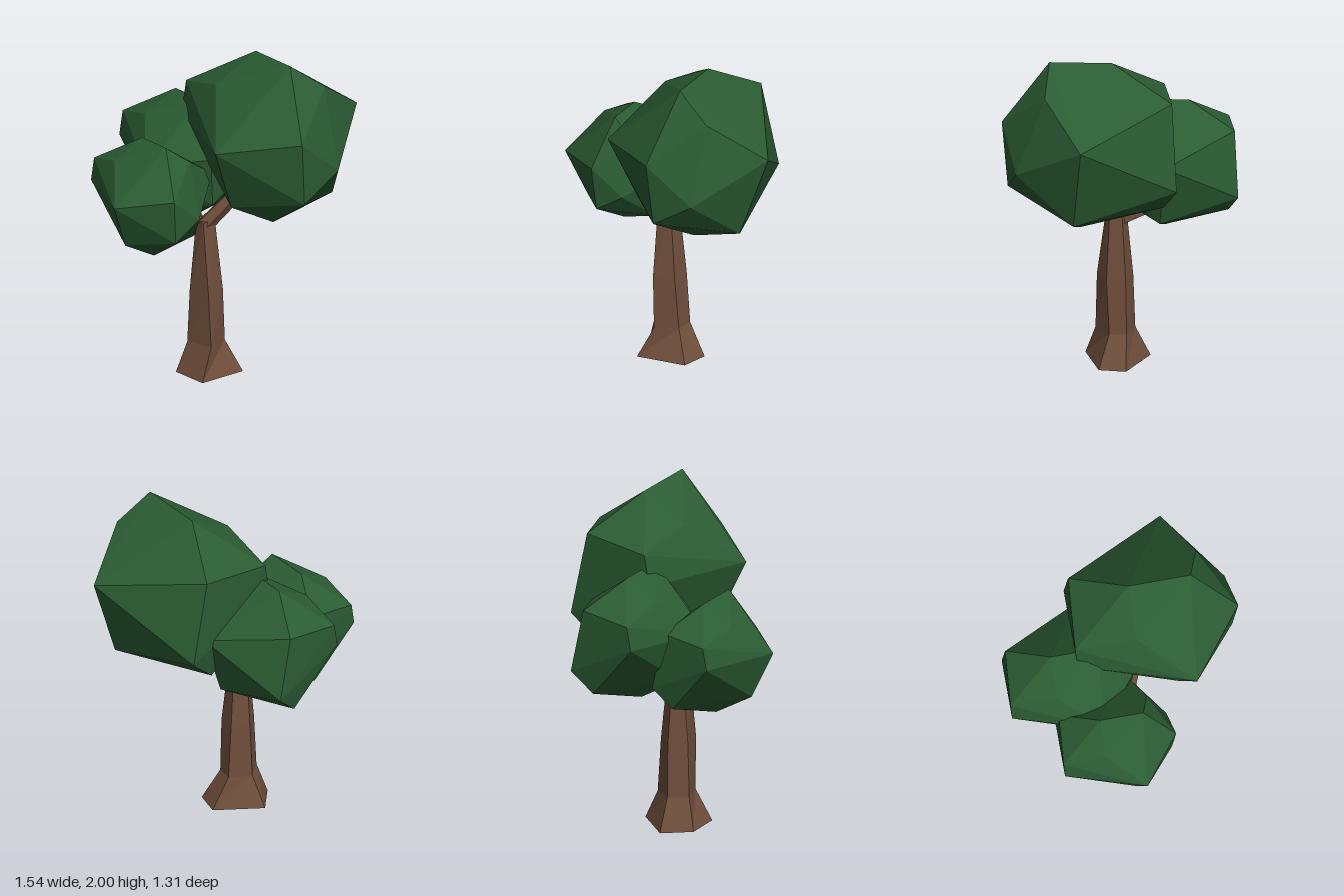
import * as THREE from 'three';
import { ConvexGeometry } from 'three/addons/geometries/ConvexGeometry.js';

// Faceted skin through rings of equal point count (counterclockwise from above), capped at both ends
function loft(rings) {
  const pos = [], n = rings[0].length;
  const tri = (...pts) => pts.forEach(p => pos.push(...p));
  for (let r = 0; r < rings.length - 1; r++) {
    const a = rings[r], b = rings[r + 1];
    for (let i = 0; i < n; i++) {
      const j = (i + 1) % n;
      tri(a[i], a[j], b[j]);
      tri(a[i], b[j], b[i]);
    }
  }
  const bottom = rings[0], top = rings[rings.length - 1];
  for (let i = 1; i < n - 1; i++) {
    tri(bottom[0], bottom[i + 1], bottom[i]);
    tri(top[0], top[i], top[i + 1]);
  }
  const geo = new THREE.BufferGeometry();
  geo.setAttribute('position', new THREE.Float32BufferAttribute(pos, 3));
  geo.computeVertexNormals();
  return geo;
}

export function createModel() {
  const tree = new THREE.Group();
  tree.name = 'tree';
  const bark = new THREE.MeshStandardMaterial({ color: 0x6f4e3c });
  bark.name = 'bark brown';
  const leaf = new THREE.MeshStandardMaterial({ color: 0x2b5c33 });
  leaf.name = 'leaf green';

  const add = (name, geo, mat) => {
    const mesh = new THREE.Mesh(geo, mat);
    mesh.name = name;
    tree.add(mesh);
    return mesh;
  };

  // Five-sided trunk with a flared foot; each ring is a list of [x, z]
  const trunkRings = [
    [0, [[0.085, 0.13], [0.075, -0.03], [-0.22, -0.11], [-0.30, 0.07], [-0.18, 0.27]]],
    [0.19, [[-0.015, 0.09], [-0.03, -0.01], [-0.17, -0.03], [-0.235, 0.08], [-0.115, 0.195]]],
    [0.52, [[-0.03, 0.11], [-0.05, 0.0], [-0.16, -0.02], [-0.22, 0.08], [-0.13, 0.19]]],
    [0.95, [[-0.075, 0.10], [-0.08, 0.03], [-0.15, 0.02], [-0.18, 0.07], [-0.15, 0.135]]],
  ];
  add('trunk', loft(trunkRings.map(([y, pts]) => pts.map(([x, z]) => [x, y, z]))), bark);

  // Branches reaching into the crowns
  const branch = (name, from, to, radius) => {
    const a = new THREE.Vector3(...from), b = new THREE.Vector3(...to);
    const dir = b.clone().sub(a);
    const geo = new THREE.CylinderGeometry(radius * 0.85, radius, dir.length(), 5).toNonIndexed();
    geo.computeVertexNormals();
    const mesh = add(name, geo, bark);
    mesh.position.copy(a).add(b).multiplyScalar(0.5);
    mesh.quaternion.setFromUnitVectors(new THREE.Vector3(0, 1, 0), dir.normalize());
  };
  branch('mainBranch', [-0.14, 0.91, 0.08], [0.12, 1.18, 0.1], 0.05);
  branch('backBranch', [-0.13, 0.87, 0.06], [-0.22, 0.99, -0.22], 0.045);

  // One irregular crown shape, reused at three sizes
  const crown = new ConvexGeometry([
    [0.32, 2.0, 0.37], [0.18, 1.97, 0.03], [0.53, 1.85, 0.35], [-0.08, 1.82, 0.14],
    [0.22, 1.76, -0.34], [-0.19, 1.72, -0.2], [0.77, 1.62, 0.08], [0.34, 1.61, 0.65],
    [-0.15, 1.54, 0.52], [-0.22, 1.53, -0.18], [0.58, 1.38, 0.51], [0.32, 1.25, -0.39],
    [0.36, 1.22, 0.61], [-0.03, 1.14, 0.38], [0.61, 1.1, 0.16], [0.17, 1.09, -0.28],
    [0.25, 0.955, 0.2],
  ].map(p => new THREE.Vector3(...p)));
  for (const [name, scale, offset] of [
    ['largeCrown', 1, [0, 0, 0]],
    ['sideCrown', 0.69, [-0.615, 0.112, 0]],
    ['backCrown', 0.76, [-0.363, 0.12, -0.36]],
  ]) {
    const mesh = add(name, crown, leaf);
    mesh.scale.setScalar(scale);
    mesh.position.set(...offset);
  }
  return tree;
}
